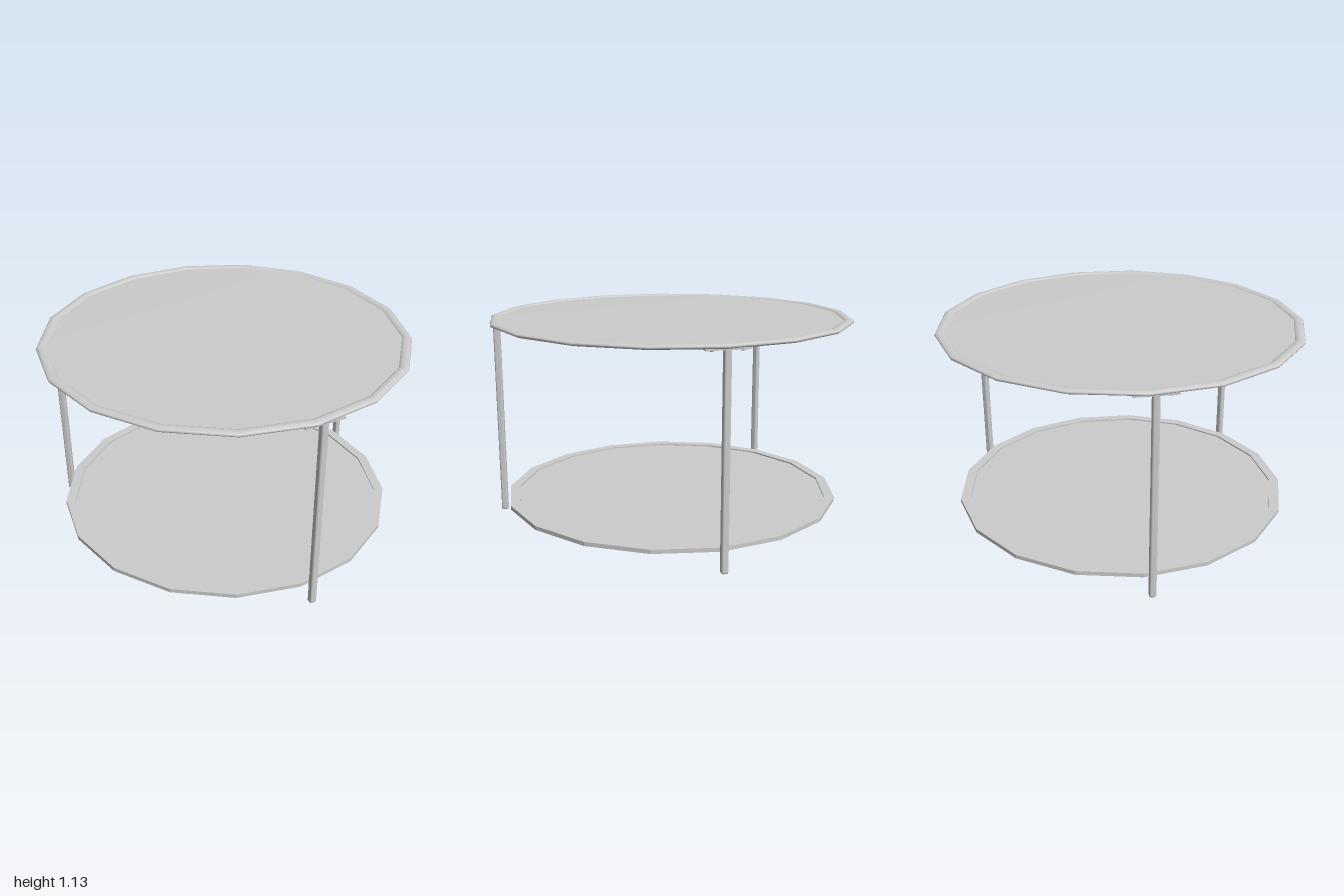
import * as THREE from 'three';
import { RoundedBoxGeometry } from 'three/addons/geometries/RoundedBoxGeometry.js';

const SIDES = 17;
const smooth = new THREE.MeshStandardMaterial({ color: 0xcccccc });
const flat = new THREE.MeshStandardMaterial({ color: 0xcccccc, flatShading: true });

function add(parent, name, geometry, material, x = 0, y = 0, z = 0) {
  const mesh = new THREE.Mesh(geometry, material);
  mesh.name = name;
  mesh.position.set(x, y, z);
  parent.add(mesh);
  return mesh;
}

// Seventeen-sided solid of revolution with one corner at the back
function turned(profile) {
  const points = profile.map(([r, y]) => new THREE.Vector2(r, y));
  return new THREE.LatheGeometry(points, SIDES, Math.PI);
}

export function createModel() {
  const table = new THREE.Group();
  table.name = 'roundSideTable';

  // Polygonal rings and discs sit slightly forward to centre their outline
  const discs = new THREE.Group();
  discs.name = 'tiers';
  discs.position.z = 0.008;
  table.add(discs);

  // Upper tier: soft-shaded panel inside a flattened tube
  add(discs, 'topPanel', turned([[0, 1.115], [0.965, 1.115], [0.965, 1.126], [0, 1.126]]), smooth);
  const oval = [];
  for (let i = 0; i <= 12; i++) {
    const a = Math.PI + (i / 12) * Math.PI * 2;
    oval.push([0.976 + 0.028 * Math.cos(a), 1.122 + 0.0125 * Math.sin(a)]);
  }
  add(discs, 'topRim', turned(oval), smooth);

  // Lower tier: flat panel with a shallow raised border
  add(discs, 'shelfPanel', turned([[0, 0.102], [0.9, 0.102], [0.9, 0.114], [0, 0.114]]), flat);
  add(discs, 'shelfRim',
    turned([[0.885, 0.1], [0.94, 0.1], [0.94, 0.122], [0.885, 0.122], [0.885, 0.1]]), flat);

  // Square legs facing outwards, each with a screwed mounting plate
  const legGeometry = new RoundedBoxGeometry(0.037, 1.115, 0.037, 3, 0.01);
  const plateGeometry = new THREE.BoxGeometry(0.045, 0.008, 0.22);
  const screwGeometry = new THREE.CylinderGeometry(0.012, 0.009, 0.008, 12);
  for (const [x, z] of [[-0.962, -0.04], [0.555, 0.802], [0.65, -0.714]]) {
    const leg = new THREE.Group();
    leg.name = 'legAssembly';
    leg.position.set(x, 0, z);
    leg.rotation.y = -Math.atan2(z, x);
    add(leg, 'leg', legGeometry, smooth, 0, 0.5575, 0);
    add(leg, 'mountingPlate', plateGeometry, flat, -0.004, 1.109, 0);
    for (const side of [-1, 1]) {
      add(leg, 'screw', screwGeometry, smooth, -0.004, 1.102, side * 0.075);
    }
    table.add(leg);
  }
  return table;
}
